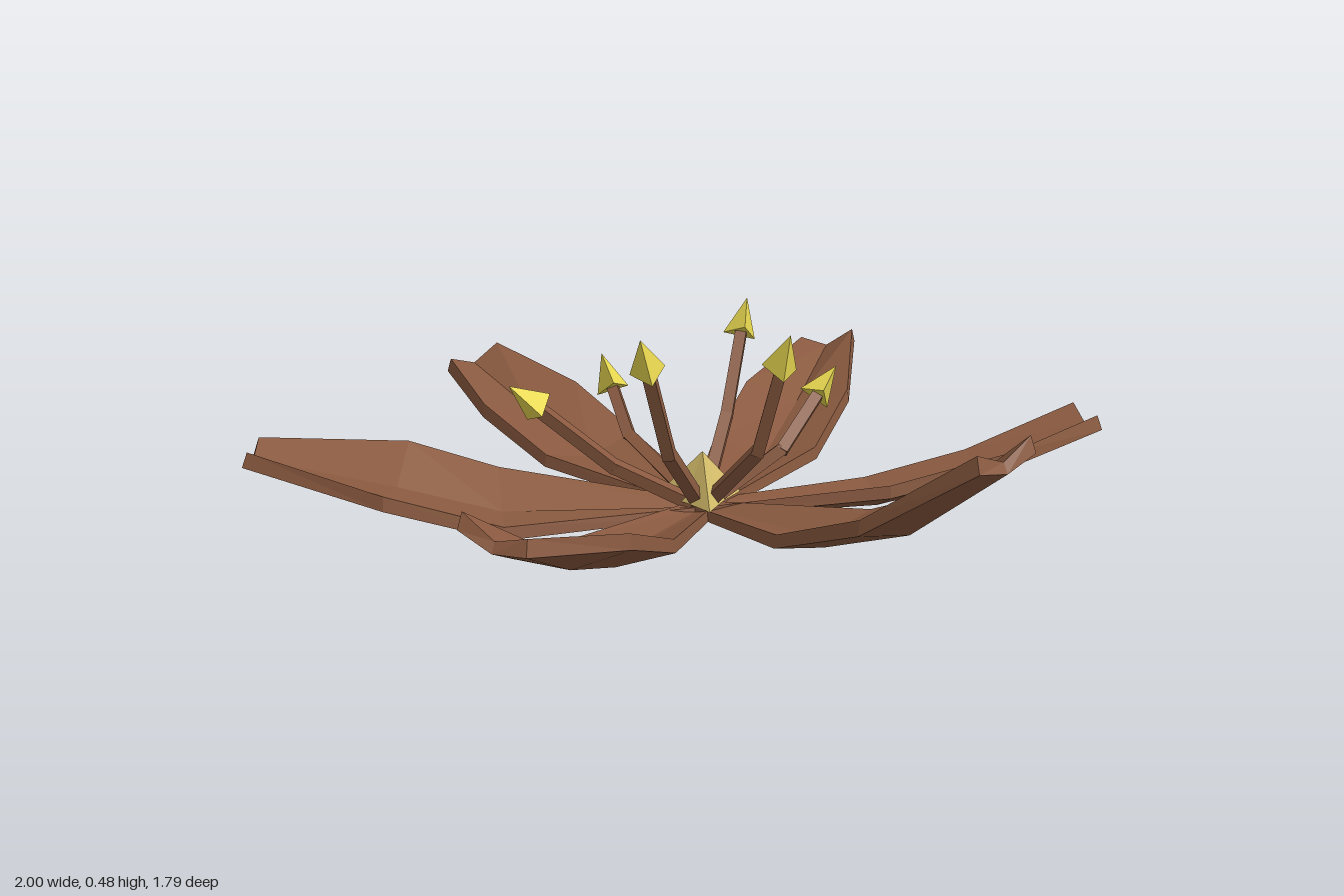
import * as THREE from 'three';

const paint = (color) => new THREE.MeshStandardMaterial({ color, flatShading: true });
const brown = paint(0x8a5a40);
const yellow = paint(0xe8d850);
const straw = paint(0xd8c06c);
const CENTRE = new THREE.Vector3(0.035, 0.03, 0);
const UP = new THREE.Vector3(0, 1, 0);

// Centre line of each petal after its root, and its sideways roll at the same points
const PETALS = [
  { name: 'leftPetal', roll: [-0.005, -0.01, -0.01], line: [[0.47, 0.06, 0.01], [0.73, 0.148, 0.01], [0.985, 0.333, 0.015]] },
  { name: 'rightPetal', roll: [0.01, 0.012, 0.014], line: [[-0.41, 0.065, 0.005], [-0.67, 0.14, 0.01], [-0.985, 0.212, -0.015]] },
  { name: 'backLeftPetal', roll: [0.025, 0.03, 0], line: [[0.245, 0.042, -0.36], [0.38, 0.098, -0.59], [0.455, 0.19, -0.845]] },
  { name: 'backRightPetal', roll: [0, 0, 0.016], line: [[-0.18, 0.053, -0.37], [-0.315, 0.14, -0.595], [-0.482, 0.238, -0.85]] },
  { name: 'frontRightPetal', roll: [0.035, 0.03, 0], line: [[-0.19, 0.042, 0.41], [-0.32, 0.105, 0.607], [-0.575, 0.157, 0.836]] },
  { name: 'frontLeftPetal', roll: [-0.02, -0.03, 0.018], line: [[0.25, 0.038, 0.405], [0.365, 0.098, 0.60], [0.425, 0.19, 0.815]] },
];
const HALF_WIDTH = [0.035, 0.139, 0.143, 0.077];
const EDGE_LIFT = [0.01, 0.036, 0.045, 0.033];
const EDGE_THICKNESS = [0.022, 0.03, 0.034, 0.035];
const MID_THICKNESS = 0.022;

// Folded strip with thickened edges: six-cornered sections joined along the centre line
function makePetal({ name, roll, line }) {
  const points = [CENTRE, ...line.map((p) => new THREE.Vector3(...p))];
  const tipDirection = points[3].clone().sub(CENTRE).setY(0).normalize();
  const positions = [];
  const indices = [];
  points.forEach((p, i) => {
    const along = i < 3 && i > 0 ? points[i + 1].clone().sub(points[i - 1]) : tipDirection;
    const side = new THREE.Vector3(-along.z, 0, along.x).normalize();
    const tilt = i > 0 ? roll[i - 1] : 0;
    for (const [s, drop] of [[1, 0], [0, 0], [-1, 0], [-1, 1], [0, 1], [1, 1]]) {
      // The underside is slightly wider and longer than the top
      const v = p.clone().addScaledVector(side, s * (HALF_WIDTH[i] - (1 - drop) * 0.004));
      if (i === 3) v.addScaledVector(tipDirection, drop * 0.012);
      v.y += Math.abs(s) * EDGE_LIFT[i] + s * tilt - drop * (s ? EDGE_THICKNESS[i] : MID_THICKNESS);
      positions.push(v.x, v.y, v.z);
    }
  });
  for (let i = 0; i < 3; i++) {
    for (let j = 0; j < 6; j++) {
      const a = i * 6 + j;
      const b = i * 6 + ((j + 1) % 6);
      indices.push(a, a + 6, b, b, a + 6, b + 6);
    }
  }
  // Root and tip caps
  for (const [a, b, c] of [[0, 1, 5], [1, 4, 5], [1, 2, 4], [2, 3, 4]]) {
    indices.push(a, b, c, c + 18, b + 18, a + 18);
  }
  const indexed = new THREE.BufferGeometry();
  indexed.setAttribute('position', new THREE.Float32BufferAttribute(positions, 3));
  indexed.setIndex(indices);
  const geometry = indexed.toNonIndexed();
  geometry.computeVertexNormals();
  const mesh = new THREE.Mesh(geometry, brown);
  mesh.name = name;
  return mesh;
}

// Tapered rod or cone from one point to another
function makeRod(name, from, to, r0, r1, sides, material) {
  const geometry = new THREE.CylinderGeometry(r1, r0, from.distanceTo(to), sides, 1, false, Math.PI);
  const mesh = new THREE.Mesh(geometry, material);
  mesh.position.copy(from).add(to).multiplyScalar(0.5);
  mesh.quaternion.setFromUnitVectors(UP, to.clone().sub(from).normalize());
  mesh.name = name;
  return mesh;
}

// Bend and tip of each stamen
const STAMENS = [
  [[0.24, 0.20, 0.005], [0.348, 0.485, 0.005]],
  [[0.145, 0.20, 0.18], [0.20, 0.487, 0.30]],
  [[-0.06, 0.135, 0.18], [-0.148, 0.343, 0.41]],
  [[-0.25, 0.145, 0], [-0.365, 0.335, 0]],
  [[-0.05, 0.21, -0.14], [-0.137, 0.475, -0.275]],
  [[0.13, 0.16, -0.16], [0.106, 0.335, -0.35]],
];

function makeStamen([bendAt, tipAt]) {
  const bend = new THREE.Vector3(...bendAt);
  const tip = new THREE.Vector3(...tipAt);
  const direction = tip.clone().sub(bend).normalize();
  const headBase = tip.clone().addScaledVector(direction, -0.092);
  const stamen = new THREE.Group();
  stamen.name = 'stamen';
  stamen.add(
    makeRod('lowerStem', CENTRE, bend.clone().addScaledVector(direction, 0.008), 0.021, 0.02, 4, brown),
    makeRod('upperStem', bend, headBase, 0.02, 0.019, 4, brown),
    makeRod('pollenHead', headBase, tip, 0.046, 0, 3, yellow),
  );
  return stamen;
}

// Three-pointed pyramid in the middle of the flower
function makePistil() {
  const geometry = new THREE.ConeGeometry(0.115, 0.115, 6);
  const p = geometry.attributes.position;
  for (let i = 0; i < p.count; i++) {
    const angle = Math.atan2(p.getX(i), p.getZ(i));
    if (Math.cos(3 * angle) > 0) {
      p.setX(i, p.getX(i) * 0.45);
      p.setZ(i, p.getZ(i) * 0.45);
    }
  }
  geometry.computeVertexNormals();
  const mesh = new THREE.Mesh(geometry, straw);
  mesh.position.set(CENTRE.x, 0.108, CENTRE.z);
  mesh.name = 'pistil';
  return mesh;
}

export function createModel() {
  const flower = new THREE.Group();
  flower.name = 'flower';
  flower.add(...PETALS.map(makePetal), ...STAMENS.map(makeStamen), makePistil());
  // Stand the lowest point on the ground
  const lowest = new THREE.Box3().setFromObject(flower, true).min.y;
  for (const part of flower.children) part.position.y -= lowest;
  return flower;
}
